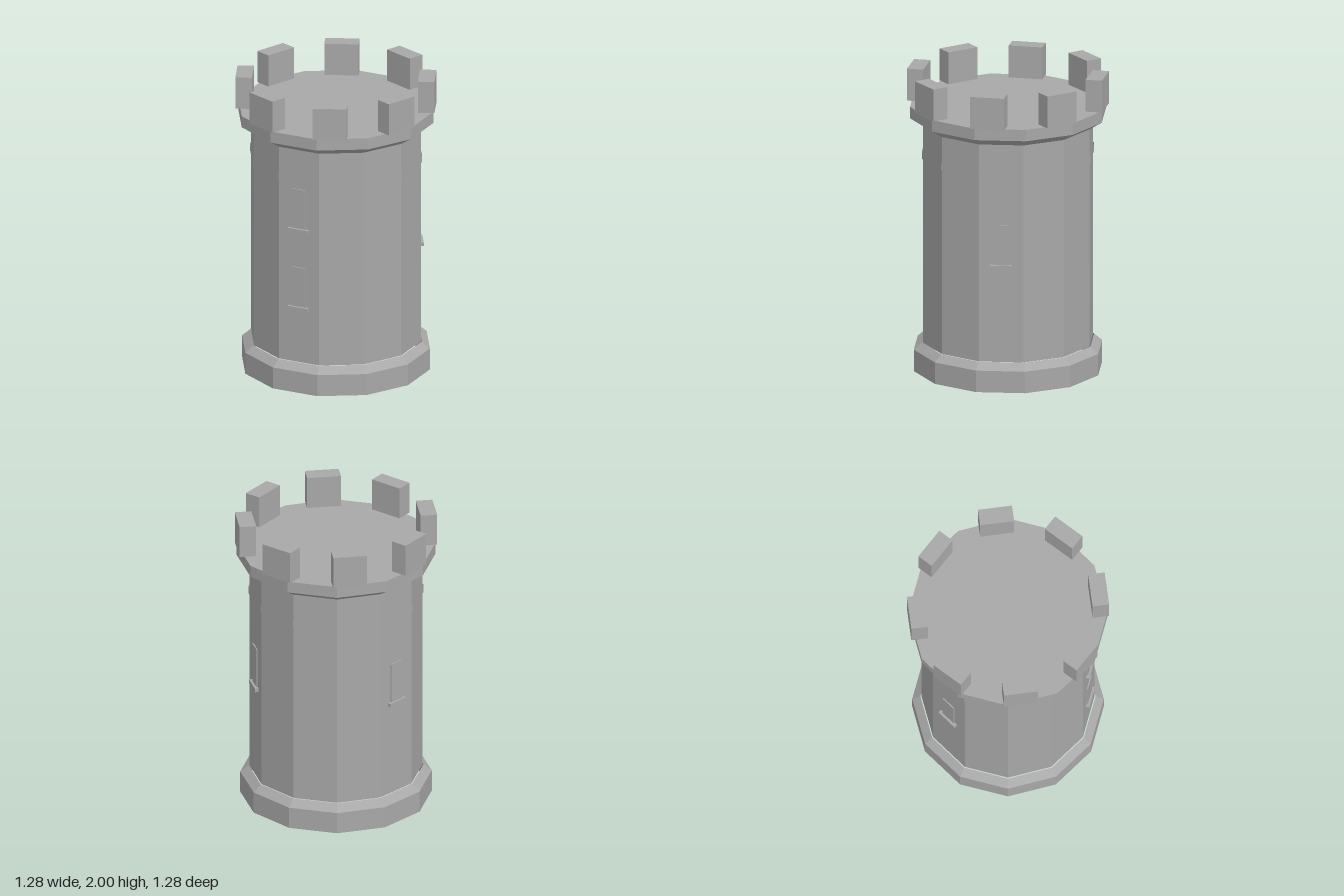
import * as THREE from 'three';

export function createModel() {
  const tower = new THREE.Group();
  tower.name = 'tower';
  const stone = new THREE.MeshStandardMaterial({ color: 0xa8a8a8, flatShading: true, side: THREE.DoubleSide });
  stone.name = 'stone';

  const SIDES = 12;
  const toCorner = 1 / Math.cos(Math.PI / SIDES); // face distance to corner radius

  // Twelve-sided shell with flat faces on the main axes; profile is [face distance, y]
  function shell(name, profile) {
    const points = profile.map(([r, y]) => new THREE.Vector2(r * toCorner, y));
    const mesh = new THREE.Mesh(new THREE.LatheGeometry(points, SIDES, Math.PI / SIDES), stone);
    mesh.name = name;
    tower.add(mesh);
  }

  function box(name, parent, w, h, d, y, z) {
    const mesh = new THREE.Mesh(new THREE.BoxGeometry(w, h, d), stone);
    mesh.name = name;
    mesh.position.set(0, y, z);
    parent.add(mesh);
  }

  // Hollow plinth, wall, string course and overhanging parapet with its deck
  shell('plinth', [[0.598, 0], [0.598, 0.145], [0.547, 0.19]]);
  shell('wall', [[0.54, 0.19], [0.54, 1.66]]);
  shell('stringCourse', [[0.547, 1.43], [0.547, 1.48]]);
  shell('parapet', [[0.54, 1.655], [0.622, 1.708], [0.622, 1.785], [0, 1.785]]);

  // Eight merlons around the deck
  for (let i = 0; i < 8; i++) {
    const pivot = new THREE.Group();
    pivot.name = 'merlonPivot';
    pivot.rotation.y = (i + 0.5) * Math.PI / 4;
    box('merlon', pivot, 0.222, 0.215, 0.108, 1.8925, 0.591);
    tower.add(pivot);
  }

  // Narrow windows with sills: [turn in degrees, sill underside y]
  for (const [turn, y] of [[0, 0.55], [0, 1.09], [120, 0.82], [240, 0.82]]) {
    const slit = new THREE.Group();
    slit.name = 'window';
    slit.rotation.y = THREE.MathUtils.degToRad(turn);
    box('windowPanel', slit, 0.1, 0.27, 0.018, y + 0.16, 0.539);
    box('windowSill', slit, 0.144, 0.025, 0.034, y + 0.0125, 0.547);
    tower.add(slit);
  }

  return tower;
}
